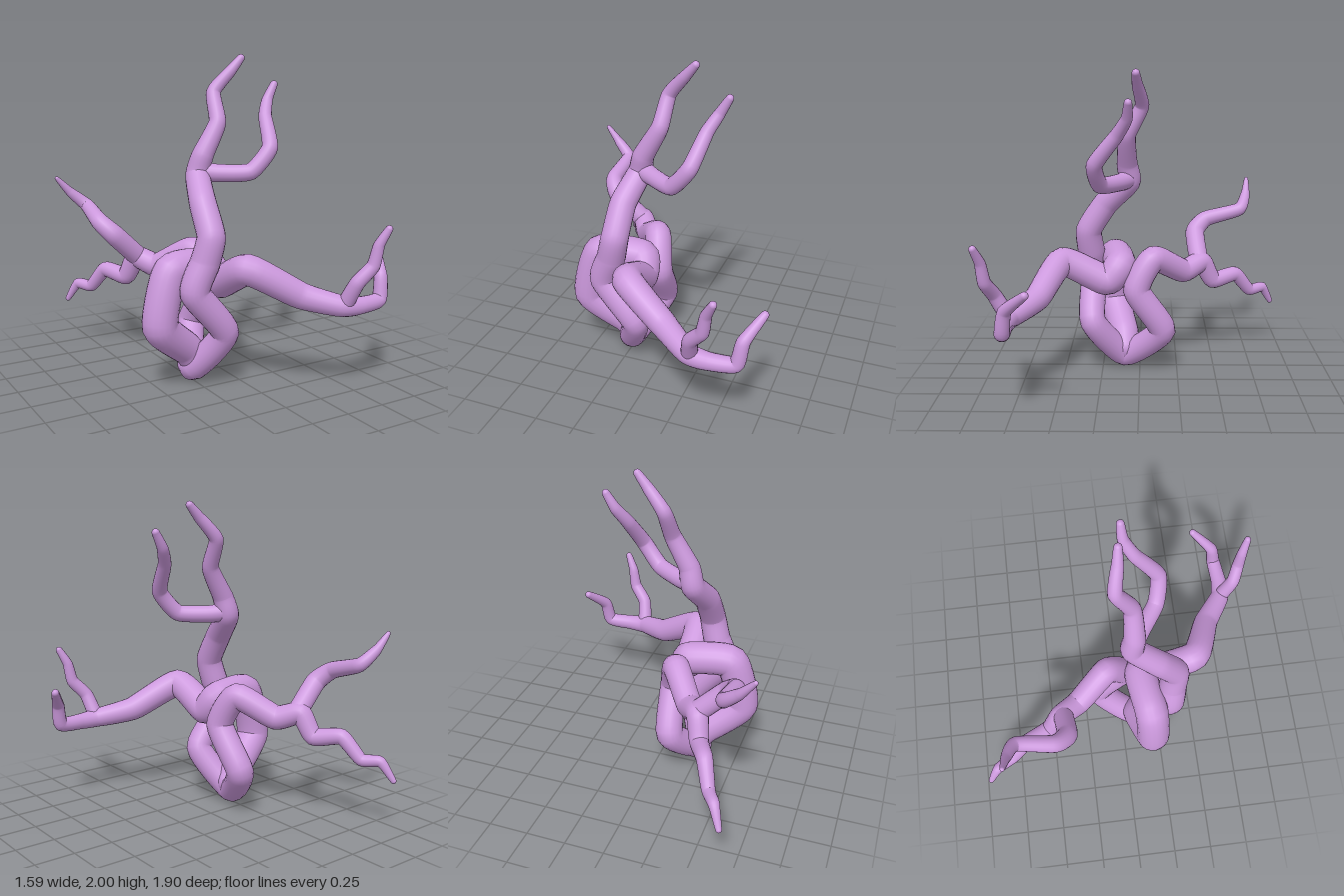
import * as THREE from 'three';

const material = new THREE.MeshStandardMaterial({ color: 0xcc99dd });

// Tapered limb through knots of [x, y, z, radius], rounded at both ends
function limb(name, knots) {
  const group = new THREE.Group();
  group.name = name;
  const points = knots.map(([x, y, z]) => new THREE.Vector3(x, y, z));
  const curve = new THREE.CatmullRomCurve3(points, false, 'catmullrom', 0.28);
  curve.getUtoTmapping = (u) => u; // step evenly from knot to knot
  const spans = knots.length - 1, rings = spans * 8, sides = 20;
  const tube = new THREE.TubeGeometry(curve, rings, 1, sides);

  // Scale each ring to the radius between its neighbouring knots
  const pos = tube.attributes.position, v = new THREE.Vector3();
  for (let i = 0; i <= rings; i++) {
    const t = (i / rings) * spans, k = Math.min(Math.floor(t), spans - 1);
    const radius = THREE.MathUtils.lerp(knots[k][3], knots[k + 1][3], t - k);
    const centre = curve.getPoint(i / rings);
    for (let j = 0; j <= sides; j++) {
      const n = i * (sides + 1) + j;
      v.fromBufferAttribute(pos, n).sub(centre).multiplyScalar(radius).add(centre);
      pos.setXYZ(n, v.x, v.y, v.z);
    }
  }
  const body = new THREE.Mesh(tube, material);
  body.name = name + 'Body';
  group.add(body);

  for (const [x, y, z, r] of [knots[0], knots[spans]]) {
    const end = new THREE.Mesh(new THREE.SphereGeometry(r, 20, 12), material);
    end.name = name + 'End';
    end.position.set(x, y, z);
    group.add(end);
  }
  return group;
}

export function createModel() {
  const model = new THREE.Group();
  model.name = 'twistedBranches';

  // Long limb: tall front tip, down to the low bend, up to the back fork and its wavy twig
  model.add(limb('mainLimb', [
    [0.145, 1.975, 0.02, 0.024], [0.08, 1.9, 0.01, 0.035], [-0.03, 1.77, -0.015, 0.045],
    [-0.055, 1.59, 0.075, 0.053], [-0.16, 1.4, 0.08, 0.067], [-0.19, 1.28, 0.07, 0.075],
    [-0.24, 1.13, 0.22, 0.082], [-0.25, 0.95, 0.335, 0.085], [-0.285, 0.8, 0.325, 0.09],
    [-0.345, 0.62, 0.31, 0.09], [-0.14, 0.35, 0.31, 0.085], [-0.25, 0.09, 0.1, 0.088],
    [-0.12, 0.3, -0.15, 0.088], [-0.09, 0.58, 0.02, 0.088], [-0.14, 0.78, -0.09, 0.085],
    [-0.29, 0.66, -0.29, 0.078], [-0.38, 0.7, -0.42, 0.068], [-0.42, 0.56, -0.5, 0.058],
    [-0.5, 0.58, -0.66, 0.05], [-0.56, 0.45, -0.77, 0.04], [-0.62, 0.45, -0.87, 0.034],
    [-0.67, 0.335, -0.935, 0.018],
  ]));

  // Thick loop from the low bend, round the right side and out to the front left
  model.add(limb('thickLoop', [
    [-0.24, 0.14, 0.1, 0.09], [-0.3, 0.22, 0.11, 0.1], [-0.51, 0.41, 0.18, 0.108],
    [-0.43, 0.73, 0.17, 0.108], [-0.16, 0.73, 0.13, 0.105], [-0.125, 0.64, 0.22, 0.1],
    [-0.1, 0.77, 0.5, 0.093], [0.18, 0.61, 0.63, 0.08], [0.38, 0.55, 0.765, 0.063],
    [0.5, 0.54, 0.78, 0.053], [0.66, 0.55, 0.765, 0.046], [0.69, 0.69, 0.74, 0.04],
    [0.77, 0.805, 0.615, 0.024],
  ]));

  // Side twigs
  model.add(limb('upperTwig', [
    [-0.17, 1.3, 0.07, 0.06], [-0.08, 1.29, 0.13, 0.055], [0.08, 1.3, 0.24, 0.052],
    [0.2, 1.44, 0.265, 0.05], [0.255, 1.62, 0.13, 0.042], [0.31, 1.72, 0.07, 0.035],
    [0.365, 1.815, 0.06, 0.024],
  ]));
  model.add(limb('frontTwig', [
    [0.39, 0.55, 0.77, 0.05], [0.42, 0.7, 0.845, 0.044], [0.5, 0.8, 0.885, 0.04],
    [0.525, 0.92, 0.9, 0.033], [0.57, 1.015, 0.93, 0.022],
  ]));
  model.add(limb('backTwig', [
    [-0.37, 0.7, -0.4, 0.065], [-0.55, 0.87, -0.38, 0.065], [-0.615, 0.95, -0.46, 0.055],
    [-0.605, 1.02, -0.69, 0.045], [-0.7, 1.11, -0.74, 0.032], [-0.785, 1.205, -0.755, 0.014],
  ]));
  return model;
}
